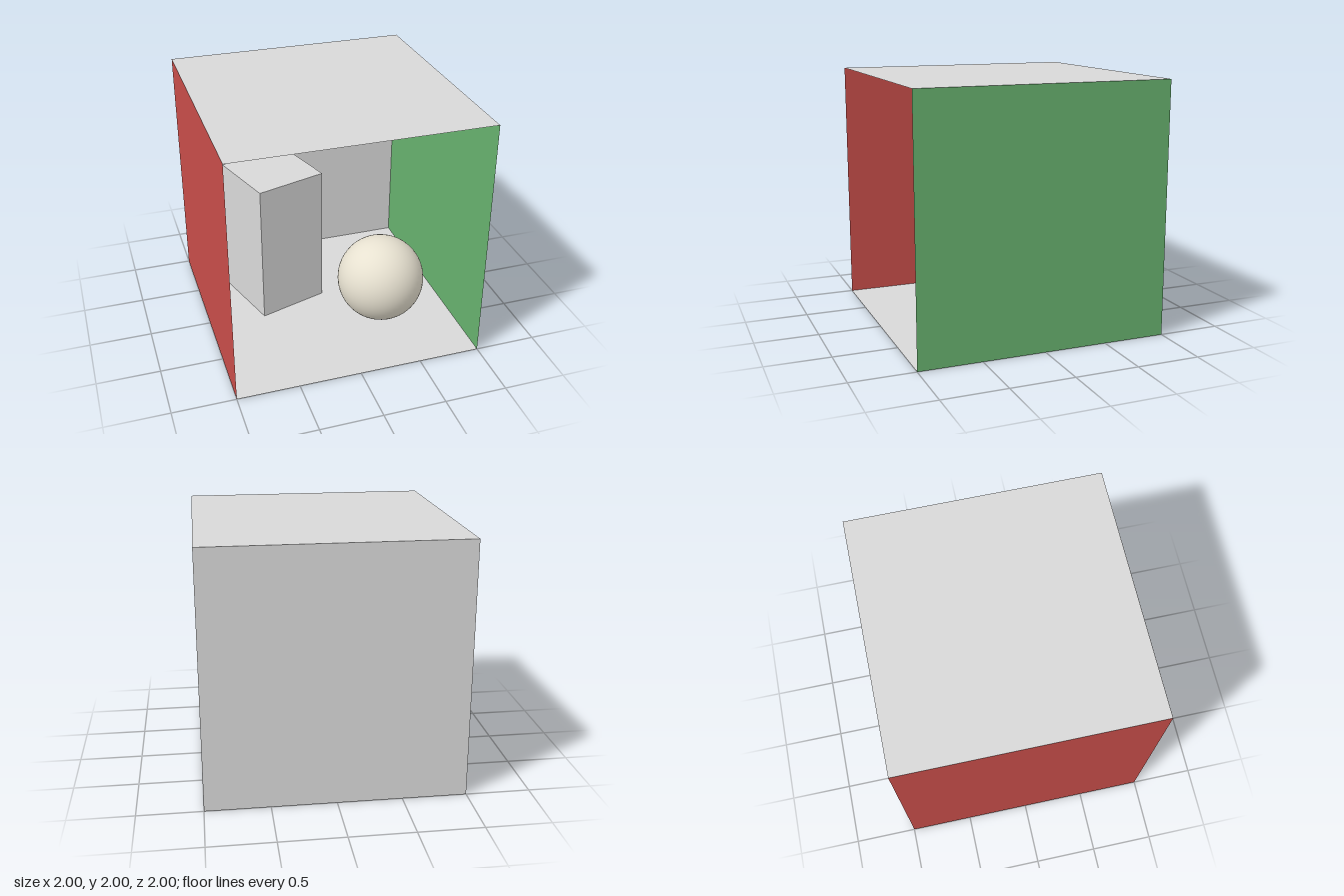
import * as THREE from 'three';

function material(name, color, side = THREE.FrontSide) {
  const m = new THREE.MeshStandardMaterial({ color, side });
  m.name = name;
  return m;
}

export function createModel() {
  const group = new THREE.Group();
  group.name = 'openRoom';

  const white = material('white', 0xd8d8d8, THREE.DoubleSide);
  const red = material('red', 0xc94e4a, THREE.DoubleSide);
  const green = material('green', 0x68b36f, THREE.DoubleSide);
  const cream = material('cream', 0xece6d5);

  function add(name, geometry, mat, position, rotation = [0, 0, 0]) {
    const mesh = new THREE.Mesh(geometry, mat);
    mesh.name = name;
    mesh.position.set(...position);
    mesh.rotation.set(...rotation);
    group.add(mesh);
  }

  // Room shell: five thin panels facing inwards, open at the front
  const panel = new THREE.PlaneGeometry(2, 2);
  const q = Math.PI / 2;
  add('floor', panel, white, [0, 0, 0], [-q, 0, 0]);
  add('ceiling', panel, white, [0, 2, 0], [q, 0, 0]);
  add('backWall', panel, white, [0, 1, -1]);
  add('redWall', panel, red, [-1, 1, 0], [0, q, 0]);
  add('greenWall', panel, green, [1, 1, 0], [0, -q, 0]);

  // Tall block, turned slightly towards the green wall
  add('tallBlock', new THREE.BoxGeometry(0.6, 1.2, 0.6), white, [-0.34, 0.6, -0.33], [0, 0.3, 0]);

  // Ball resting on the floor
  add('ball', new THREE.SphereGeometry(0.36, 48, 32), cream, [0.42, 0.36, 0.28]);

  return group;
}
